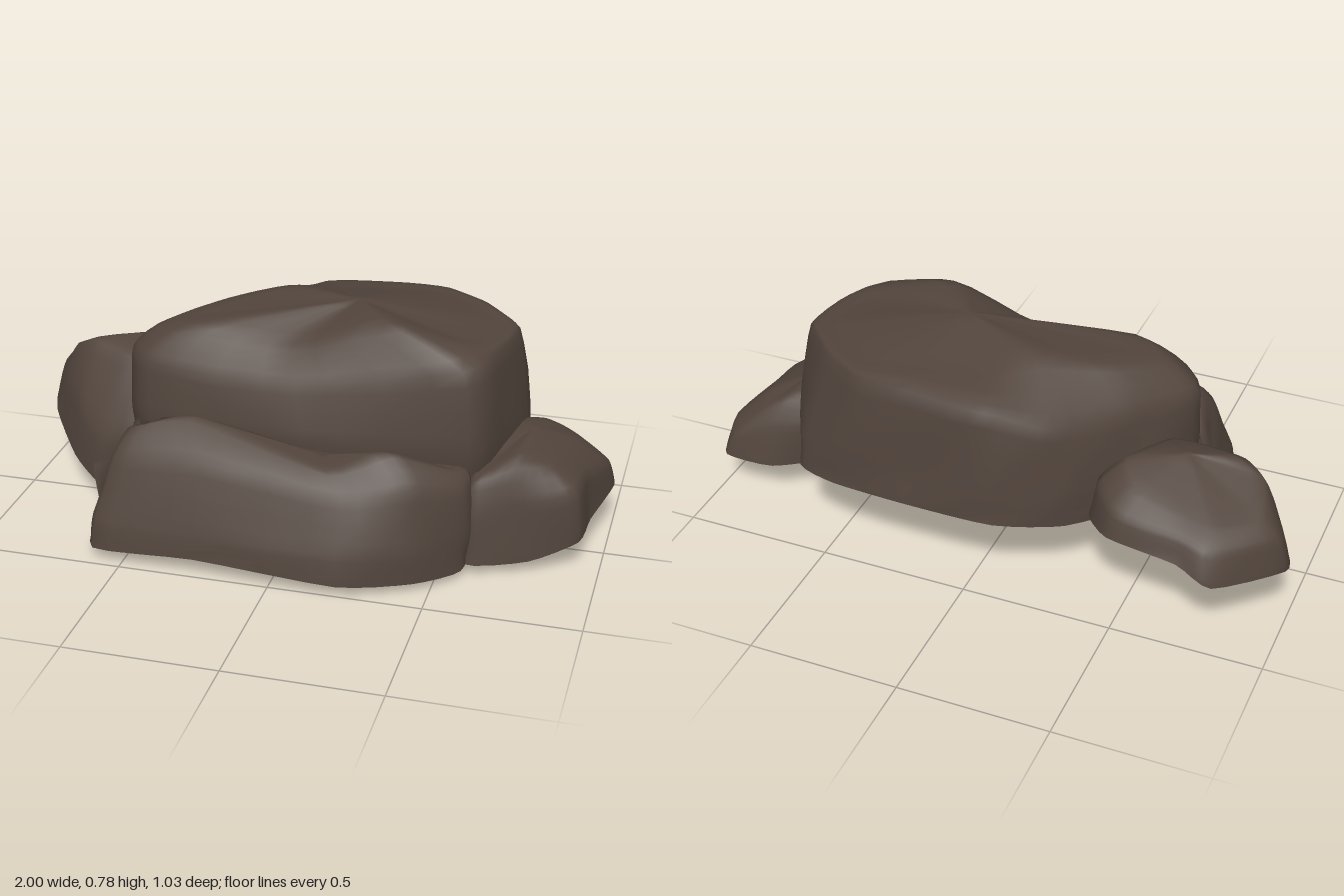
import * as THREE from 'three';

const PER_POINT = 4; // samples between outline points
const PER_RING = 4;  // samples between rings

// Lofts a hollow, open-bottomed boulder: rings run from rim to crown, then close on a peak.
function boulder(name, rings, peak, material) {
  const loops = rings.map((ring) => new THREE.CatmullRomCurve3(
    ring.map((p) => new THREE.Vector3(...p)), true, 'catmullrom', 0.3));
  const cols = rings[0].length * PER_POINT;
  const rows = rings.length * PER_RING;
  const top = new THREE.Vector3(...peak);
  const pos = [], index = [];
  for (let c = 0; c < cols; c++) {
    const column = new THREE.CatmullRomCurve3(
      [...loops.map((l) => l.getPoint(c / cols)), top], false, 'catmullrom', 0.25);
    for (let r = 0; r < rows; r++) {
      const p = column.getPoint(r / rows);
      // gentle weathering
      const w = 0.005 * Math.sin(p.x * 17 + p.y * 11) * Math.sin(p.z * 19 - p.y * 13 + p.x * 5);
      if (r > 0) p.addScaledVector(p.clone().sub(top).normalize(), w);
      pos.push(p.x, p.y, p.z);
    }
  }
  pos.push(...peak);
  const peakIndex = cols * rows;
  for (let c = 0; c < cols; c++) {
    const a = c * rows, b = ((c + 1) % cols) * rows;
    for (let r = 0; r < rows - 1; r++) {
      index.push(a + r, b + r, b + r + 1, a + r, b + r + 1, a + r + 1);
    }
    index.push(a + rows - 1, b + rows - 1, peakIndex);
  }
  const geometry = new THREE.BufferGeometry();
  geometry.setAttribute('position', new THREE.Float32BufferAttribute(pos, 3));
  geometry.setIndex(index);
  geometry.computeVertexNormals();
  const mesh = new THREE.Mesh(geometry, material);
  mesh.name = name;
  return mesh;
}

export function createModel() {
  const stone = new THREE.MeshStandardMaterial({ color: 0x51443c, side: THREE.DoubleSide });
  stone.name = 'brown stone';
  const group = new THREE.Group();
  group.name = 'rockCluster';

  // Large block at the back, notched in the middle of its front crown
  group.add(boulder('mainBoulder', [
    [[.55, .2, .17], [.65, .2, .03], [.7, .24, -.2], [.6, .29, -.44], [.45, .3, -.5], [.2, .3, -.515],
      [-.1, .29, -.5], [-.3, .26, -.38], [-.49, .24, -.15], [-.58, .22, .05], [-.47, .2, .18], [.05, .2, .23]],
    [[.57, .4, .19], [.66, .4, .03], [.71, .4, -.2], [.6, .4, -.41], [.44, .4, -.49], [.2, .4, -.5],
      [-.1, .39, -.49], [-.3, .38, -.37], [-.5, .38, -.14], [-.6, .4, .05], [-.48, .4, .2], [.05, .4, .25]],
    [[.54, .66, .16], [.63, .68, .01], [.66, .68, -.2], [.54, .69, -.34], [.38, .69, -.45], [.2, .69, -.46],
      [-.06, .67, -.45], [-.25, .6, -.36], [-.46, .58, -.13], [-.59, .58, .04], [-.49, .58, .17], [.0, .57, .2]],
    [[.28, .77, .09], [.5, .705, 0], [.57, .7, -.18], [.48, .705, -.29], [.36, .71, -.36], [.2, .72, -.33],
      [0, .72, -.3], [-.12, .75, -.2], [-.31, .715, -.12], [-.46, .685, .03], [-.35, .7, .11], [-.02, .67, .1]],
  ], [.15, .775, -.08], stone));

  // Long sloping slab in front
  group.add(boulder('frontBoulder', [
    [[.55, .08, .2], [0, .3, .2], [-.58, .14, .12], [-.73, .15, .1], [-.64, .07, .28],
      [-.6, .04, .47], [-.25, .06, .495], [.22, .04, .51], [.45, .03, .41], [.58, .03, .29]],
    [[.57, .15, .2], [0, .31, .19], [-.58, .17, .12], [-.69, .17, .11], [-.63, .15, .27],
      [-.59, .14, .45], [-.25, .14, .48], [.22, .14, .49], [.45, .14, .4], [.58, .15, .28]],
    [[.56, .3, .18], [.05, .33, .18], [-.53, .24, .12], [-.62, .21, .15], [-.58, .28, .25],
      [-.54, .34, .38], [-.25, .36, .4], [.22, .3, .42], [.42, .33, .36], [.57, .29, .26]],
    [[.52, .35, .17], [.08, .36, .18], [-.46, .42, .17], [-.53, .35, .17], [-.52, .38, .22],
      [-.47, .43, .31], [-.3, .46, .28], [.15, .365, .36], [.34, .43, .31], [.52, .36, .23]],
  ], [.12, .375, .27], stone));

  // Low rock on the left
  group.add(boulder('leftBoulder', [
    [[.58, .04, .26], [.78, .045, .2], [.93, .1, .13], [.95, .12, 0], [1, .15, -.2],
      [.97, .14, -.3], [.8, .13, -.29], [.62, .14, -.18], [.52, .1, .05]],
    [[.58, .22, .23], [.76, .24, .18], [.91, .27, .12], [.93, .27, -.02], [.98, .24, -.19],
      [.94, .22, -.28], [.8, .27, -.26], [.62, .28, -.18], [.52, .25, .05]],
    [[.6, .32, .18], [.72, .37, .14], [.82, .345, .09], [.85, .34, -.03], [.88, .33, -.15],
      [.84, .33, -.22], [.76, .37, -.2], [.65, .38, -.14], [.6, .35, .05]],
  ], [.74, .395, -.07], stone));

  // Bowl-shaped rock on the right, with a low pointed tip
  group.add(boulder('rightBoulder', [
    [[-.63, 0, .04], [-.46, .12, -.04], [-.36, .29, -.32], [-.47, .33, -.47], [-.7, .31, -.49],
      [-.82, .26, -.5], [-1, .24, -.31], [-.97, .2, -.17], [-.84, .12, 0], [-.73, .07, .08]],
    [[-.58, .27, .08], [-.5, .32, -.06], [-.39, .43, -.31], [-.48, .41, -.44], [-.7, .38, -.46],
      [-.8, .36, -.46], [-.97, .35, -.31], [-.93, .34, -.17], [-.82, .29, -.02], [-.71, .25, .06]],
    [[-.56, .47, -.08], [-.53, .49, -.14], [-.47, .51, -.28], [-.53, .47, -.37], [-.68, .43, -.39],
      [-.79, .41, -.39], [-.9, .41, -.3], [-.88, .465, -.18], [-.8, .5, -.14], [-.67, .48, -.09]],
  ], [-.64, .52, -.21], stone));

  return group;
}
